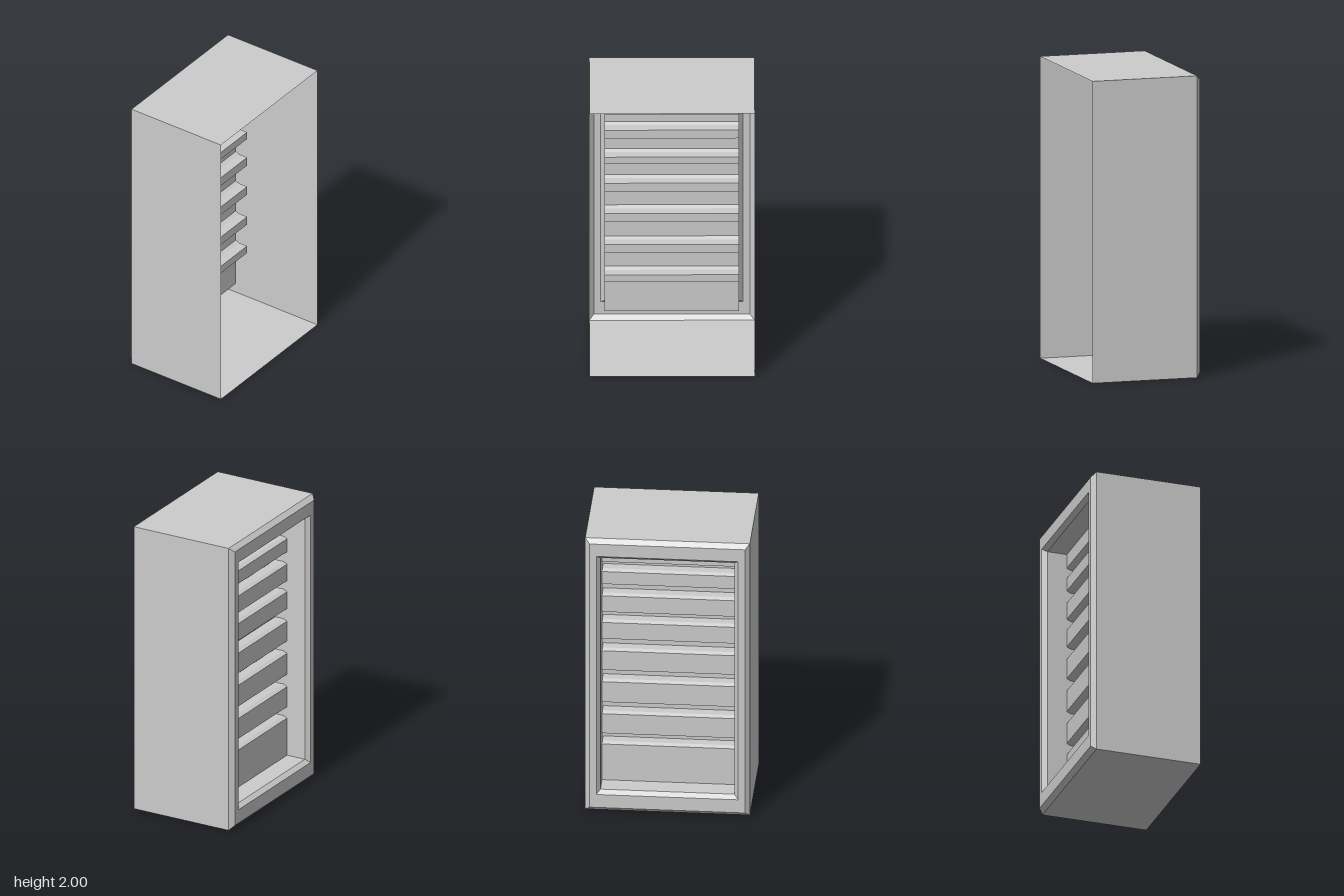
import * as THREE from 'three';

const material = new THREE.MeshStandardMaterial({ color: 0xcccccc, side: THREE.DoubleSide, flatShading: true });

// Mesh made of flat quads, each given as four [x, y, z] corners, anticlockwise from outside
function quadMesh(name, quads) {
  const positions = quads.flatMap(([a, b, c, d]) => [...a, ...b, ...c, ...a, ...c, ...d]);
  const geometry = new THREE.BufferGeometry();
  geometry.setAttribute('position', new THREE.Float32BufferAttribute(positions, 3));
  geometry.computeVertexNormals();
  const mesh = new THREE.Mesh(geometry, material);
  mesh.name = name;
  return mesh;
}

// Rectangular ring in the plane of one x: half width along z, bottom and top
const ring = (x, half, y0, y1) => [[x, y0, half], [x, y1, half], [x, y1, -half], [x, y0, -half]];

// Bands of quads joining successive rings
function loft(name, rings) {
  const quads = [];
  for (let i = 0; i < rings.length - 1; i++) {
    for (let k = 0; k < 4; k++) {
      const n = (k + 1) % 4;
      quads.push([rings[i][k], rings[i][n], rings[i + 1][n], rings[i + 1][k]]);
    }
  }
  return quadMesh(name, quads);
}

export function createModel() {
  const group = new THREE.Group();
  group.name = 'louveredVentBox';

  const front = -0.375, bevel = -0.345, panel = -0.21, lip = -0.185, deep = -0.12;
  const half = 0.44, bottom = 0.15, top = 1.855, chamfer = 0.013;

  // Thin shell, open towards +x
  group.add(loft('housing', [ring(0.375, 0.54, 0, 2), ring(bevel, 0.54, 0, 2)]));

  // Bevelled rim, flat frame and chamfered opening
  group.add(loft('frame', [
    ring(bevel, 0.54, 0, 2),
    ring(front, 0.51, 0.03, 1.97),
    ring(front, 0.465, 0.125, 1.88),
    ring(bevel, half, bottom, top),
  ]));
  group.add(loft('recessWalls', [ring(bevel, half, bottom, top), ring(panel, half, bottom, top)]));

  // Louvre panel: a stepped profile swept along z, with grooves [top, bottom]
  const grooves = [
    [1.757, 1.684], [1.593, 1.505], [1.388, 1.309], [1.19, 1.1],
    [0.96, 0.872], [0.723, 0.636], [0.493, 0.413],
  ];
  const profile = [[panel, top]];
  const caps = [];
  for (const [hi, lo] of grooves) {
    const p = [
      [panel, hi], [lip, hi - chamfer], [deep, hi - chamfer],
      [deep, lo + chamfer], [lip, lo + chamfer], [panel, lo],
    ];
    profile.push(...p);
    // Groove ends, facing inwards on both sides
    for (const [a, b, c, d] of [[0, 5, 4, 1], [1, 4, 3, 2]]) {
      const at = (z) => [a, b, c, d].map((i) => [...p[i], z]);
      caps.push(at(-half), at(half).reverse());
    }
  }
  profile.push([panel, bottom]);

  const strips = profile.slice(1).map((q, i) => {
    const p = profile[i];
    return [[...p, -half], [...q, -half], [...q, half], [...p, half]];
  });
  group.add(quadMesh('louvrePanel', strips));
  group.add(quadMesh('grooveEnds', caps));

  return group;
}
